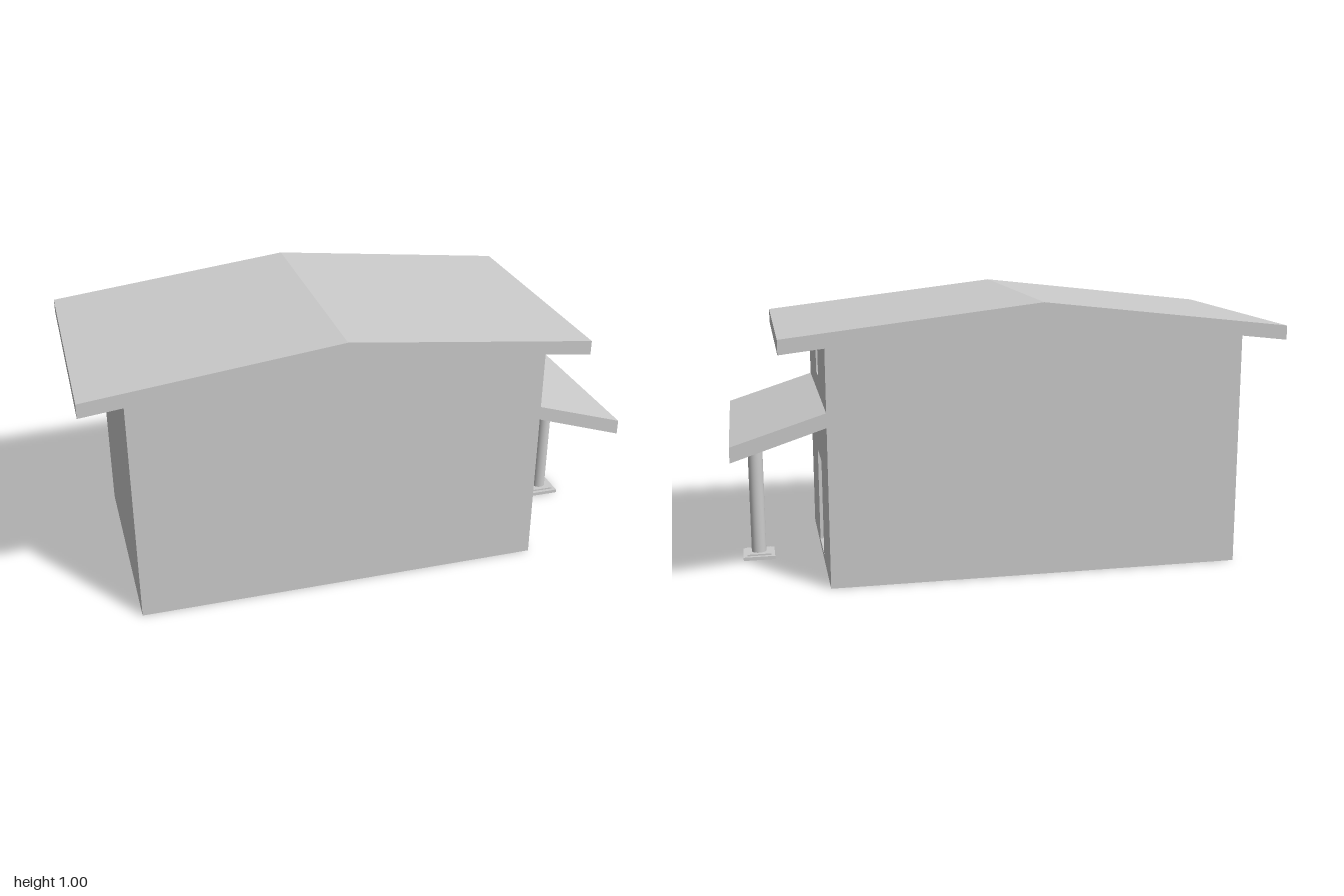
import * as THREE from 'three';

export function createModel() {
  const group = new THREE.Group();
  const material = new THREE.MeshStandardMaterial({ color: 0xcccccc, flatShading: true });
  const smooth = new THREE.MeshStandardMaterial({ color: 0xcccccc });

  const add = (name, geometry, mat = material) => {
    const mesh = new THREE.Mesh(geometry, mat);
    mesh.name = name;
    group.add(mesh);
    return mesh;
  };
  const outline = (points) => new THREE.Shape(points.map(([x, y]) => new THREE.Vector2(x, y)));
  const extrude = (shape, depth) => new THREE.ExtrudeGeometry(shape, { depth, bevelEnabled: false });
  // Extrusion of an x-y profile, centred on z = 0
  const prism = (points, width) => extrude(outline(points), width).translate(0, 0, -width / 2);
  const rectangle = (halfWidth, bottom, top) =>
    [[-halfWidth, bottom], [halfWidth, bottom], [halfWidth, top], [-halfWidth, top]];

  const left = -0.845, right = 0.67, ridge = -0.087, recess = 0.075, width = 0.866;
  const underside = (x) => 0.948 - 0.1155 * Math.abs(x - ridge);

  // House block, topped by the slope of the roof
  const inner = right - recess;
  add('houseBody', prism([
    [left, 0], [inner, 0], [inner, underside(inner)], [ridge, underside(ridge)], [left, underside(left)],
  ], width));

  // Entrance wall with the door and window recesses
  const wall = outline(rectangle(width / 2, 0, underside(right)+ 0.005));
  wall.holes.push(
    outline(rectangle(0.102, 0.02, 0.385)),
    outline(rectangle(0.054, 0.699, 0.794)),
  );
  add('entranceWall', extrude(wall, recess).rotateY(Math.PI / 2).translate(inner, 0, 0));

  // Shallow gable roof
  add('roof', prism([
    [-1, 0.843], [ridge, 0.948], [0.828, 0.843], [0.828, 0.895], [ridge, 1], [-1, 0.895],
  ], 0.946));

  // Sloping porch canopy
  add('porchCanopy', prism([[right, 0.58], [1, 0.472], [1, 0.527], [right, 0.632]], width));

  // Post on a stepped square base
  const postX = 0.911;
  add('porchPost', new THREE.CylinderGeometry(0.0275, 0.0275, 0.495, 32).translate(postX, 0.2655, 0), smooth);
  add('postBase', new THREE.BoxGeometry(0.118, 0.013, 0.118).translate(postX, 0.0065, 0));
  add('postBaseStep', new THREE.BoxGeometry(0.09, 0.006, 0.09).translate(postX, 0.016, 0));

  return group;
}
